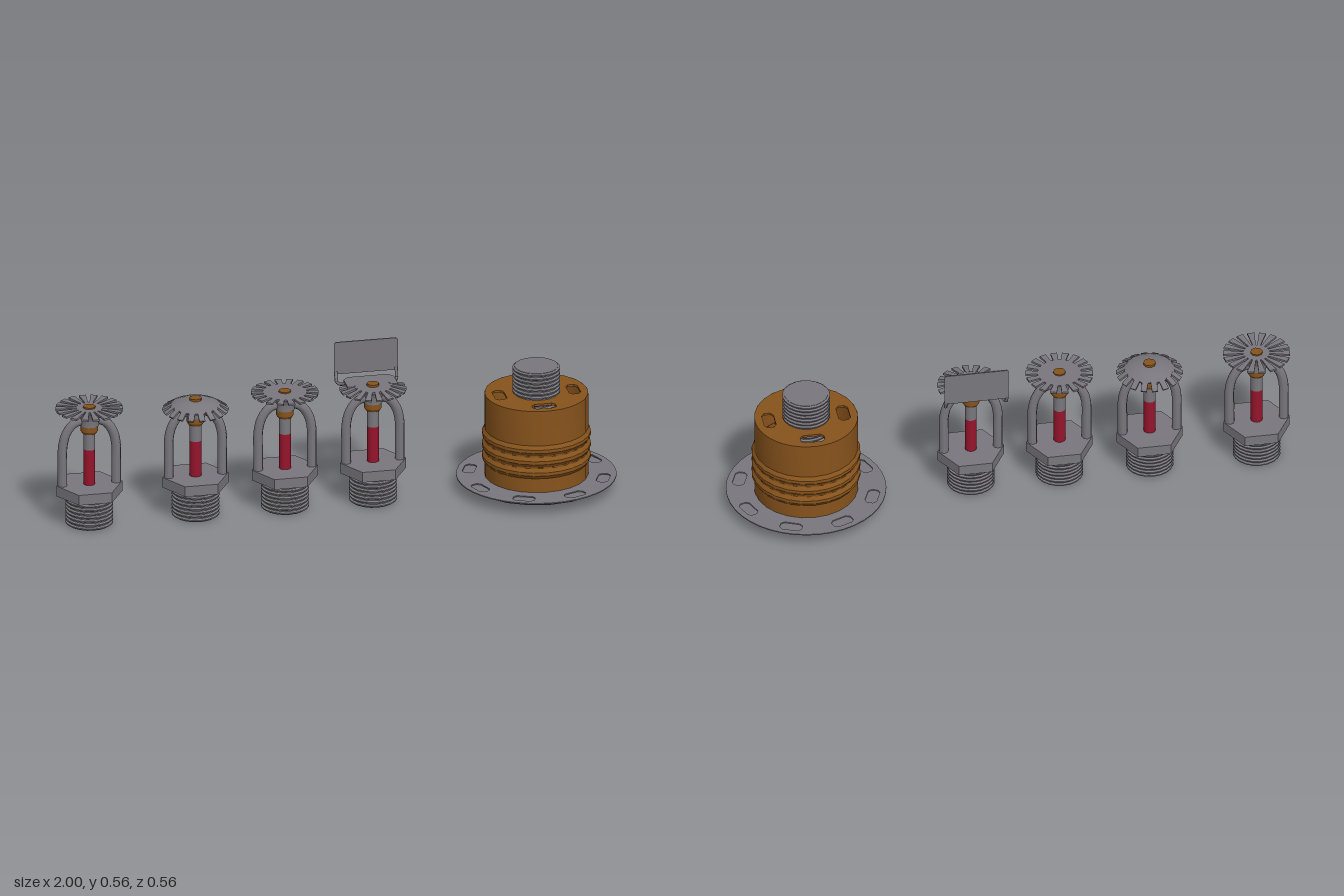
import * as THREE from 'three';
import { mergeGeometries, toCreasedNormals } from 'three/addons/utils/BufferGeometryUtils.js';

const mat = (name, color, side = THREE.FrontSide) => {
  const m = new THREE.MeshStandardMaterial({ color, side });
  m.name = name;
  return m;
};

export function createModel() {
  const root = new THREE.Group();
  root.name = 'sprinklerSet';
  const steel = mat('steel', 0x79777d, THREE.DoubleSide);
  const brass = mat('brass', 0x87531c, THREE.DoubleSide);
  const red = mat('redGlass', 0x96142c);

  const add = (parent, name, geo, material) => {
    const m = new THREE.Mesh(geo, material);
    m.name = name;
    parent.add(m);
    return m;
  };
  const lathe = (pts, seg = 20) => toCreasedNormals(
    new THREE.LatheGeometry(pts.map(([r, y]) => new THREE.Vector2(r, y)), seg), 0.45);

  // Ridged pipe thread with closed ends
  const thread = (y0, y1, turns) => {
    const pts = [[0, y0], [0.077, y0]];
    const p = (y1 - y0) / turns;
    for (let i = 0; i < turns; i++) {
      const y = y0 + i * p;
      pts.push([0.077, y + p * 0.1], [0.084, y + p * 0.35], [0.084, y + p * 0.65], [0.077, y + p * 0.9]);
    }
    pts.push([0.077, y1], [0, y1]);
    return lathe(pts);
  };

  // Ring of tapered, tilted fingers around a deflector disc
  const fingers = ({ count, inner, outer, y, tilt = 0, w0, w1, keep = () => true }) => {
    const len = (outer - inner) / Math.cos(tilt);
    const s = new THREE.Shape([
      new THREE.Vector2(-0.006, -w0 / 2), new THREE.Vector2(len, -w1 / 2),
      new THREE.Vector2(len, w1 / 2), new THREE.Vector2(-0.006, w0 / 2)]);
    const list = [];
    for (let i = 0; i < count; i++) {
      const a = (i + 0.5) / count * Math.PI * 2;
      if (!keep(a)) continue;
      const g = new THREE.ExtrudeGeometry(s, { depth: 0.007, bevelEnabled: false });
      list.push(g.rotateX(-Math.PI / 2).rotateZ(-tilt).translate(inner, y, 0).rotateY(a));
    }
    return mergeGeometries(list);
  };

  const deflectors = [
    { disc: [[0, 0.428], [0.046, 0.428], [0.046, 0.435], [0, 0.435]],
      teeth: { count: 18, inner: 0.045, outer: 0.118, y: 0.428, w0: 0.010, w1: 0.025 } },
    { disc: [[0, 0.425], [0.05, 0.422], [0.087, 0.408], [0.089, 0.414], [0.052, 0.430], [0, 0.433]],
      teeth: { count: 18, inner: 0.086, outer: 0.113, y: 0.408, tilt: 0.55, w0: 0.021, w1: 0.021 } },
    { disc: [[0, 0.428], [0.077, 0.428], [0.077, 0.435], [0, 0.435]],
      teeth: { count: 18, inner: 0.075, outer: 0.118, y: 0.428, w0: 0.016, w1: 0.024 } },
    { disc: [[0, 0.425], [0.068, 0.425], [0.068, 0.432], [0, 0.432]],
      teeth: { count: 18, inner: 0.066, outer: 0.116, y: 0.425, tilt: 0.2, w0: 0.014, w1: 0.023,
        keep: a => Math.sin(a) < 0.25 } },
  ];

  const sprinkler = (x, { disc, teeth }) => {
    const g = new THREE.Group();
    g.name = 'sprinkler';
    g.position.x = x;
    root.add(g);
    add(g, 'pipeThread', thread(0, 0.112, 8), steel);
    // Chamfered hexagonal wrench flange
    const hex = new THREE.CylinderGeometry(0.118, 0.118, 0.038, 6).toNonIndexed();
    hex.rotateY(Math.PI / 2).translate(0, 0.129, 0);
    hex.computeVertexNormals();
    add(g, 'hexFlange', hex, steel);
    // Frame arms
    for (const s of [-1, 1]) {
      const path = new THREE.CatmullRomCurve3([
        [0.096, 0.14], [0.096, 0.22], [0.095, 0.295], [0.083, 0.342], [0.057, 0.377], [0.015, 0.393],
      ].map(([px, py]) => new THREE.Vector3(s * px, py, 0)));
      add(g, 'frameArm', new THREE.TubeGeometry(path, 20, 0.017, 8), steel);
    }
    // Bulb, cap, brass collar and boss
    add(g, 'glassBulb', new THREE.CylinderGeometry(0.021, 0.021, 0.135, 16).translate(0, 0.2125, 0), red);
    add(g, 'bulbCap', new THREE.CylinderGeometry(0.021, 0.021, 0.065, 16).translate(0, 0.3125, 0), steel);
    add(g, 'brassCollar', lathe([[0, 0.34], [0.025, 0.34], [0.031, 0.35], [0.031, 0.372], [0, 0.372]]), brass);
    add(g, 'boss', lathe([[0, 0.37], [0.034, 0.37], [0.034, 0.395], [0.042, 0.412], [0.05, 0.427], [0, 0.427]]), steel);
    add(g, 'brassScrew', new THREE.CylinderGeometry(0.022, 0.022, 0.012, 8).translate(0, 0.434, 0), brass);
    // Deflector
    add(g, 'deflectorDisc', lathe(disc, 24), steel);
    add(g, 'deflectorTeeth', fingers(teeth), steel);
    return g;
  };
  const heads = [-0.88, -0.50, -0.18, 0.135].map((x, i) => sprinkler(x, deflectors[i]));

  // Sidewall head: rear tab, brackets and upright shield
  const side = heads[3];
  const tab = new THREE.Shape([[-0.09, 0], [0.09, 0], [0.09, 0.07], [0.072, 0.092], [-0.072, 0.092], [-0.09, 0.07]]
    .map(p => new THREE.Vector2(...p)));
  add(side, 'rearTab', new THREE.ExtrudeGeometry(tab, { depth: 0.007, bevelEnabled: false })
    .rotateX(-Math.PI / 2).translate(0, 0.425, 0), steel);
  for (const s of [-1, 1]) {
    const path = new THREE.CurvePath();
    const pts = [[0.08, 0.426, -0.05], [0.1, 0.41, -0.085], [0.108, 0.412, -0.105], [0.108, 0.445, -0.118]]
      .map(([x, y, z]) => new THREE.Vector3(s * x, y, z));
    for (let i = 0; i < 3; i++) path.add(new THREE.LineCurve3(pts[i], pts[i + 1]));
    add(side, 'shieldBracket', new THREE.TubeGeometry(path, 12, 0.006, 6), steel);
  }
  const shield = new THREE.Shape([[-0.114, 0.436], [0.114, 0.436], [0.114, 0.55], [0.108, 0.556], [-0.108, 0.556], [-0.114, 0.55]]
    .map(p => new THREE.Vector2(...p)));
  add(side, 'shieldPlate', new THREE.ExtrudeGeometry(shield, { depth: 0.005, bevelEnabled: false })
    .translate(0, 0, -0.121), steel);

  // Concealed unit: cup on a slotted cover plate
  const unit = new THREE.Group();
  unit.name = 'concealedUnit';
  unit.position.x = 0.72;
  root.add(unit);

  // Disc with a ring of rounded slots and a centre hole
  const slotted = (r, hole, n, slotR, len, wid, offset, depth) => {
    const s = new THREE.Shape().absarc(0, 0, r, 0, Math.PI * 2);
    s.holes.push(new THREE.Path().absarc(0, 0, hole, 0, Math.PI * 2, true));
    for (let i = 0; i < n; i++) {
      const a = offset + i / n * Math.PI * 2, c = Math.cos(a), d = Math.sin(a);
      const pts = [[-1, -0.5], [-1, 0.5], [-0.7, 1], [0.7, 1], [1, 0.5], [1, -0.5], [0.7, -1], [-0.7, -1]]
        .map(([t, u]) => {
          const tx = t * len / 2, ux = slotR + u * wid / 2;
          return new THREE.Vector2(c * ux - d * tx, d * ux + c * tx);
        });
      s.holes.push(new THREE.Path(pts));
    }
    return new THREE.ExtrudeGeometry(s, { depth, bevelEnabled: false, curveSegments: 20 }).rotateX(-Math.PI / 2);
  };

  add(unit, 'coverPlate', lathe([[0, 0.03], [0.25, 0.03], [0.281, 0.046], [0.281, 0.048]]), steel);
  add(unit, 'coverFloor', new THREE.CylinderGeometry(0.265, 0.25, 0.006, 20).translate(0, 0.04, 0), steel);
  add(unit, 'coverFlange', slotted(0.281, 0.15, 8, 0.238, 0.078, 0.042, Math.PI / 8, 0.004).translate(0, 0.046, 0), steel);
  const wall = [[0.182, 0.05]];
  for (const y of [0.121, 0.164, 0.207])
    wall.push([0.182, y - 0.019], [0.191, y - 0.006], [0.191, y + 0.006], [0.182, y + 0.019]);
  wall.push([0.182, 0.356]);
  add(unit, 'cupWall', lathe(wall, 24), brass);
  add(unit, 'cupTop', slotted(0.181, 0.078, 4, 0.132, 0.085, 0.042, 0, 0.008).translate(0, 0.348, 0), brass);
  add(unit, 'unitThread', thread(0.2, 0.457, 18), steel);

  return root;
}
